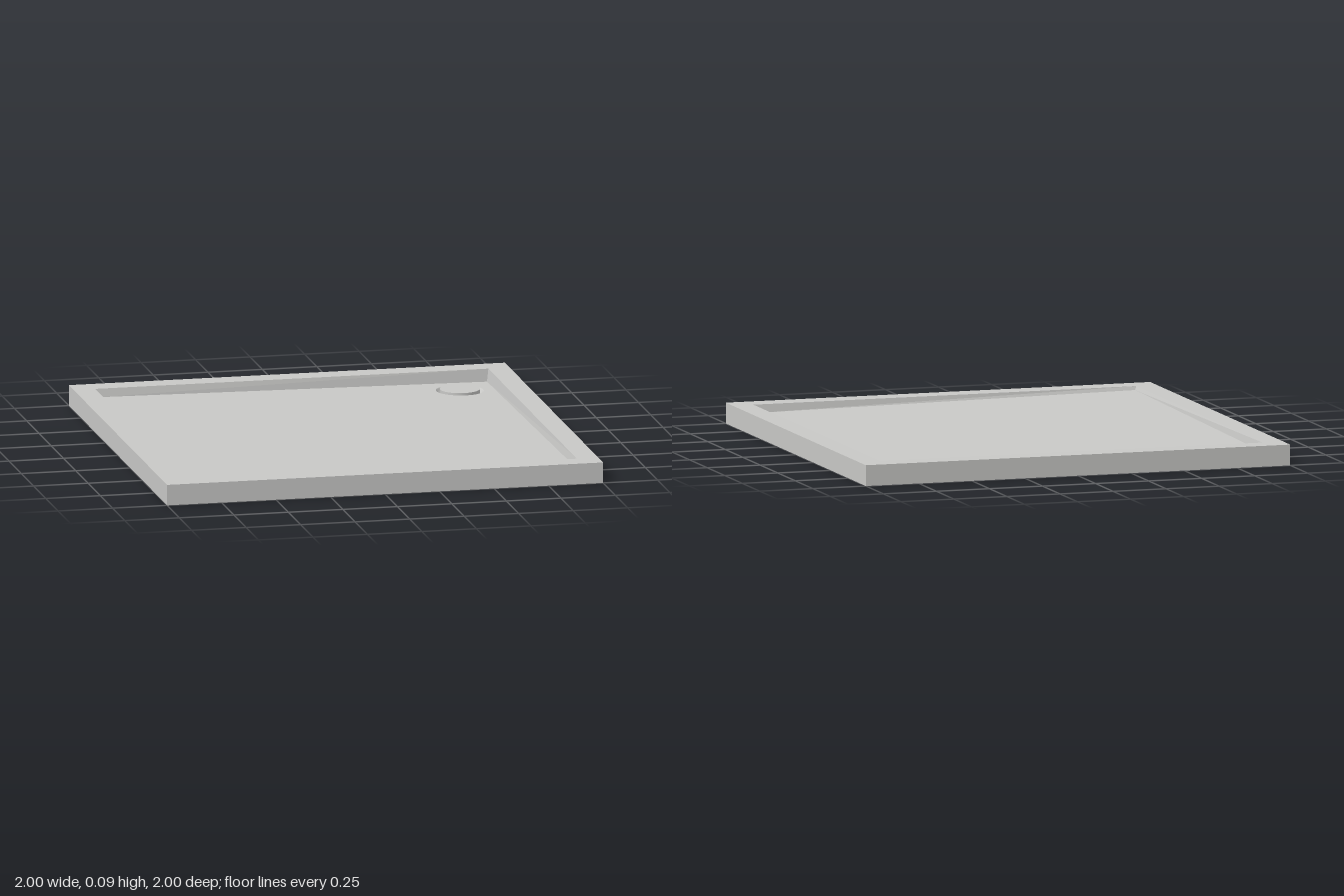
import * as THREE from 'three';

const HEIGHT = 0.094;
const RIM_INNER = 0.902, FLOOR_EDGE = 0.894;
const DRAIN = { x: 0.735, z: -0.74, r: 0.108 };

// The floor falls gently towards the drain corner
const floorY = (x, z) => 0.057 - 0.0115 * x + 0.0115 * z;

// Four corners of a square; height is a number or a function of x and z
function square(half, height) {
  return [[-1, 1], [1, 1], [1, -1], [-1, -1]].map(([sx, sz]) => {
    const x = sx * half, z = sz * half;
    return [x, typeof height === 'function' ? height(x, z) : height, z];
  });
}

// Flat-sided band joining two square loops
function band(name, a, b, material) {
  const points = [];
  for (let i = 0; i < 4; i++) {
    const j = (i + 1) % 4;
    points.push(...a[i], ...a[j], ...b[j], ...a[i], ...b[j], ...b[i]);
  }
  const geometry = new THREE.BufferGeometry();
  geometry.setAttribute('position', new THREE.Float32BufferAttribute(points, 3));
  geometry.computeVertexNormals();
  const mesh = new THREE.Mesh(geometry, material);
  mesh.name = name;
  return mesh;
}

export function createModel() {
  const tray = new THREE.Group();
  tray.name = 'showerTray';
  const enamel = new THREE.MeshStandardMaterial({ color: 0xc8c8c6 });
  enamel.name = 'light grey enamel';
  enamel.side = THREE.DoubleSide;

  // Thin shell, open underneath: skirt, rim and basin walls
  const foot = square(1, 0);
  const outerTop = square(1, HEIGHT);
  const innerTop = square(RIM_INNER, HEIGHT);
  const floorLoop = square(FLOOR_EDGE, floorY);
  tray.add(
    band('skirt', foot, outerTop, enamel),
    band('rim', outerTop, innerTop, enamel),
    band('basinWalls', innerTop, floorLoop, enamel),
  );

  // Sloping floor with a round opening for the drain
  const e = FLOOR_EDGE;
  const outline = new THREE.Shape([[-e, -e], [e, -e], [e, e], [-e, e]].map(p => new THREE.Vector2(...p)));
  outline.holes.push(new THREE.Path().absarc(DRAIN.x, -DRAIN.z, DRAIN.r, 0, Math.PI * 2, true));
  const floorGeometry = new THREE.ShapeGeometry(outline, 24).rotateX(-Math.PI / 2);
  let p = floorGeometry.attributes.position;
  for (let i = 0; i < p.count; i++) p.setY(i, floorY(p.getX(i), p.getZ(i)));
  floorGeometry.computeVertexNormals();
  const floor = new THREE.Mesh(floorGeometry, enamel);
  floor.name = 'floor';
  tray.add(floor);

  // Shallow dish around the drain, following the slope of the floor
  const profile = [[0, -0.02], [0.085, -0.02], [0.095, -0.016], [0.102, -0.006], [DRAIN.r, 0]];
  const dishGeometry = new THREE.LatheGeometry(profile.map(q => new THREE.Vector2(...q)), 48);
  dishGeometry.translate(DRAIN.x, 0, DRAIN.z);
  p = dishGeometry.attributes.position;
  for (let i = 0; i < p.count; i++) p.setY(i, p.getY(i) + floorY(p.getX(i), p.getZ(i)));
  dishGeometry.computeVertexNormals();
  const dish = new THREE.Mesh(dishGeometry, enamel);
  dish.name = 'drainDish';
  tray.add(dish);

  // Round drain cover
  const cover = new THREE.Mesh(new THREE.CylinderGeometry(0.09, 0.09, 0.024, 48), enamel);
  cover.name = 'drainCover';
  cover.position.set(DRAIN.x, 0.036, DRAIN.z);
  tray.add(cover);

  return tray;
}
